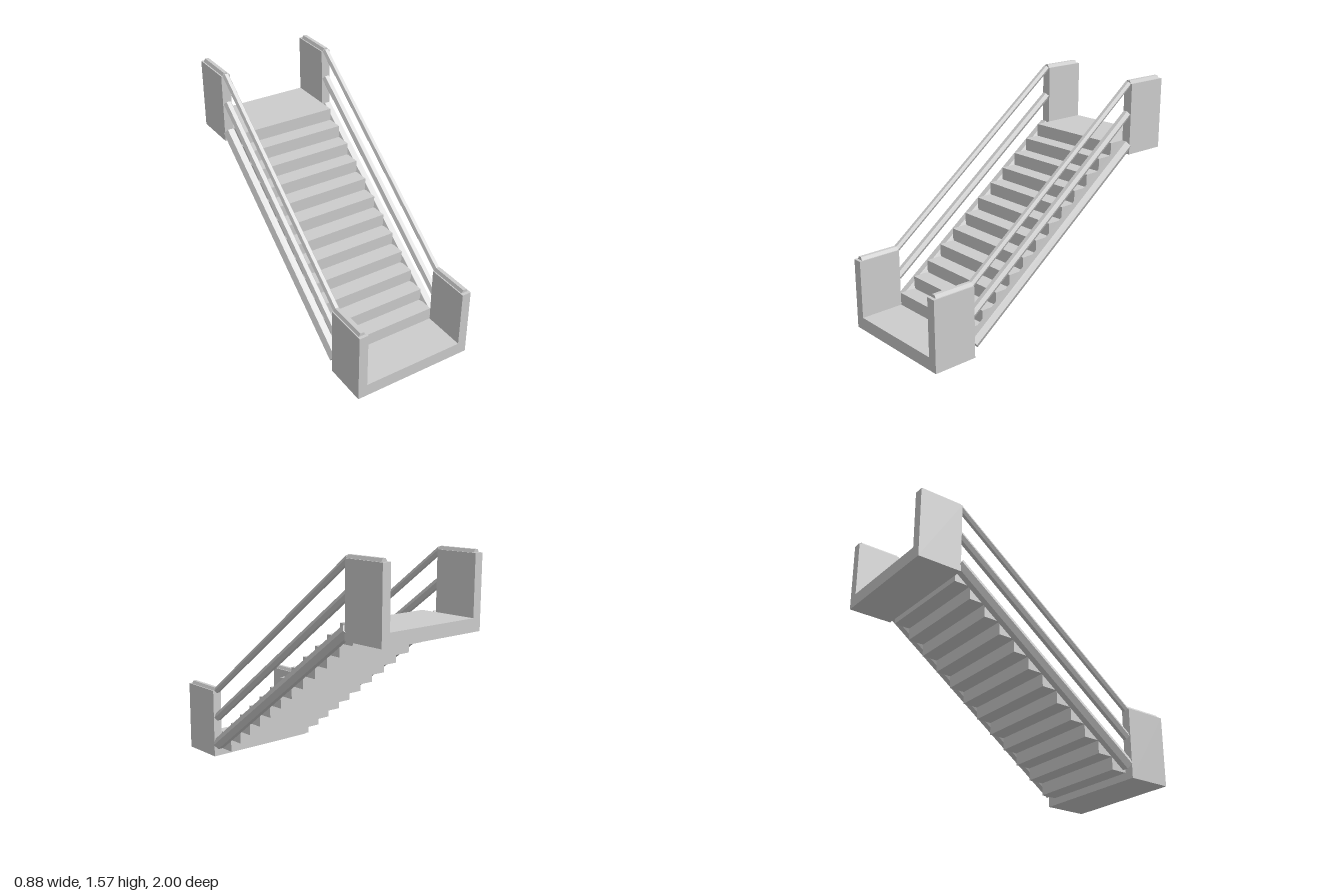
import * as THREE from 'three';

const grey = new THREE.MeshStandardMaterial({ color: 0xcccccc });

const WALL_IN = 0.362, WALL_OUT = 0.427, RAIL_X = 0.394;
const Z_FLIGHT = 0.692;           // the flight runs from +Z_FLIGHT to -Z_FLIGHT
const RISE = 1.057, STEPS = 12;   // total climb and number of steps
const FLOOR = 0.088, WALL_H = 0.488;

function addMesh(parent, name, geometry) {
  const mesh = new THREE.Mesh(geometry, grey);
  mesh.name = name;
  parent.add(mesh);
  return mesh;
}

// Six-sided bar between two (y, z) points, with an edge facing outwards
function addBar(parent, name, x, radius, [y0, z0], [y1, z1]) {
  const a = new THREE.Vector3(x, y0, z0), b = new THREE.Vector3(x, y1, z1);
  let g = new THREE.CylinderGeometry(radius, radius, a.distanceTo(b), 6);
  g.rotateY(Math.PI / 2);
  g = g.toNonIndexed();
  g.computeVertexNormals();
  const bar = addMesh(parent, name, g);
  bar.position.copy(a).add(b).multiplyScalar(0.5);
  bar.quaternion.setFromUnitVectors(new THREE.Vector3(0, 1, 0), b.sub(a).normalize());
}

// U-shaped landing: floor and two side walls in one extruded section
function addLanding(parent, name, y, zBack, depth) {
  const section = new THREE.Shape([
    [-WALL_OUT, 0], [WALL_OUT, 0], [WALL_OUT, WALL_H], [WALL_IN, WALL_H],
    [WALL_IN, FLOOR], [-WALL_IN, FLOOR], [-WALL_IN, WALL_H], [-WALL_OUT, WALL_H],
  ].map(([px, py]) => new THREE.Vector2(px, py)));
  const g = new THREE.ExtrudeGeometry(section, { depth, bevelEnabled: false });
  addMesh(parent, name, g).position.set(0, y, zBack);
}

export function createModel() {
  const model = new THREE.Group();
  model.name = 'staircase';

  addLanding(model, 'lowerLanding', 0, Z_FLIGHT, 1 - Z_FLIGHT);
  addLanding(model, 'upperLanding', RISE, -1, 1 - Z_FLIGHT);

  // Overlapping block steps
  const steps = new THREE.Group();
  steps.name = 'steps';
  model.add(steps);
  const run = 2 * Z_FLIGHT / STEPS, rise = RISE / STEPS, thick = 0.126;
  for (let i = 0; i < STEPS; i++) {
    const step = addMesh(steps, 'step', new THREE.BoxGeometry(2 * WALL_IN, thick, run));
    step.position.set(0, FLOOR + rise * (i + 1) - thick / 2, Z_FLIGHT - run * (i + 0.5));
  }

  // Stringers, middle rails, handrails and the rail caps on the walls
  for (const [side, s] of [['left', 1], ['right', -1]]) {
    const x = s * RAIL_X, top = WALL_H + RISE;
    addBar(model, side + 'Stringer', x, 0.044, [0.09, 0.685], [1.122, -0.69]);
    addBar(model, side + 'MiddleRail', x, 0.029, [0.289, 0.69], [1.339, -0.69]);
    addBar(model, side + 'Handrail', x, 0.023, [WALL_H, Z_FLIGHT], [top, -Z_FLIGHT]);
    addBar(model, side + 'LowerCap', x, 0.024, [WALL_H, 0.978], [WALL_H, Z_FLIGHT]);
    addBar(model, side + 'UpperCap', x, 0.024, [top, -Z_FLIGHT], [top, -0.978]);
  }
  return model;
}
